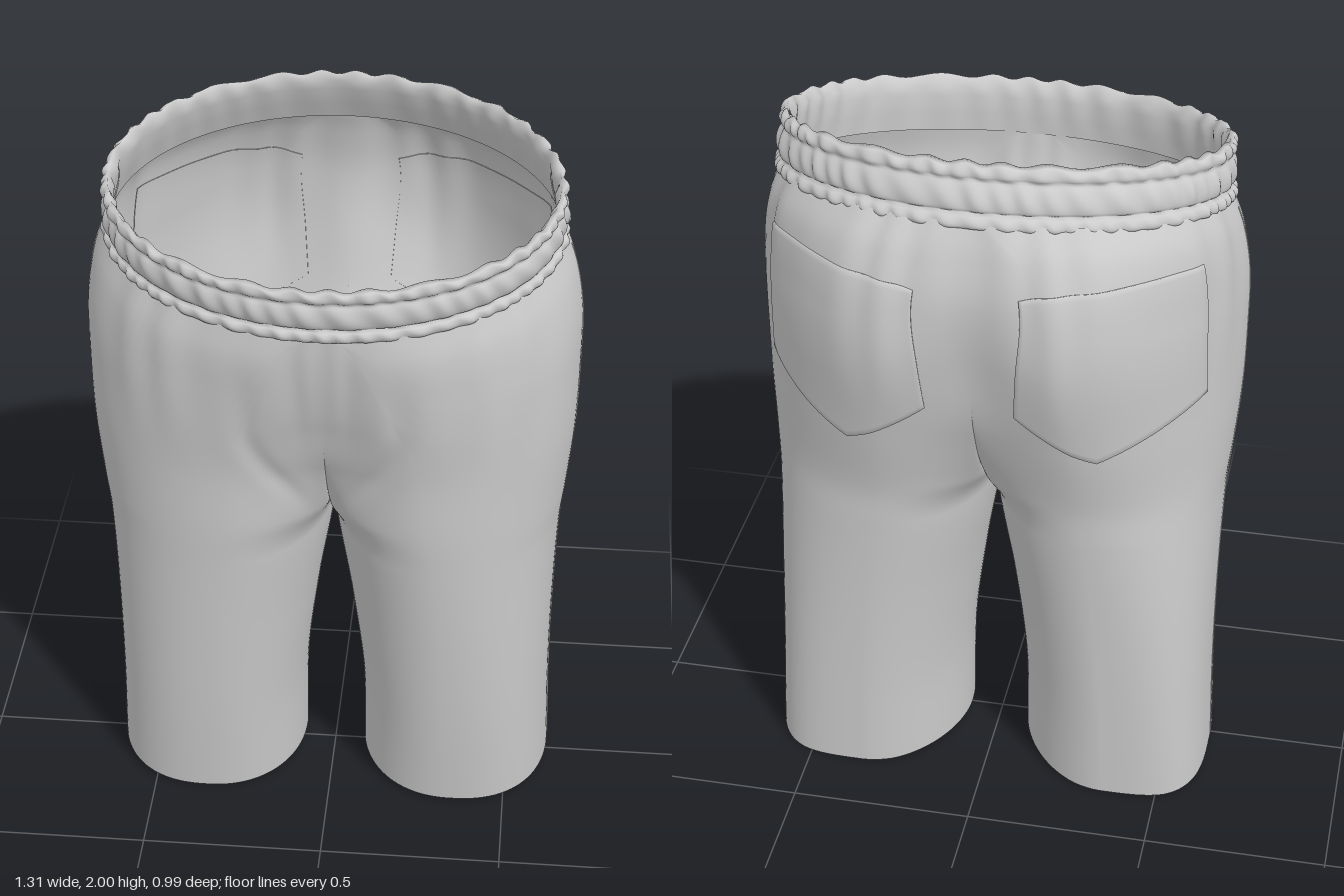
import * as THREE from 'three';
import { mergeVertices } from 'three/addons/utils/BufferGeometryUtils.js';

const CROTCH = 0.88;
const TILT = 0.207; // the waist rises towards the back

// Cross-section levels of the left half:
// height, inner x, outer x, side z, seam front z, front z, front x, seam back z, back z, back x
const LEVELS = [
  [0.00, 0.085, 0.62, -0.04, -0.03, 0.255, 0.35, -0.03, -0.32, 0.35],
  [0.30, 0.08, 0.612, -0.02, -0.03, 0.295, 0.34, -0.03, -0.335, 0.34],
  [0.60, 0.045, 0.612, 0, -0.02, 0.33, 0.32, -0.02, -0.352, 0.32],
  [0.88, 0, 0.62, 0.02, -0.02, 0.36, 0.29, -0.02, -0.372, 0.29],
  [1.00, 0, 0.632, 0.03, 0.19, 0.373, 0.27, -0.23, -0.384, 0.27],
  [1.20, 0, 0.648, 0.04, 0.33, 0.388, 0.25, -0.38, -0.435, 0.25],
  [1.40, 0, 0.65, 0.04, 0.395, 0.418, 0.2, -0.44, -0.485, 0.22],
  [1.55, 0, 0.645, 0.04, 0.43, 0.44, 0.15, -0.46, -0.48, 0.2],
  [1.68, 0, 0.622, 0.035, 0.452, 0.458, 0.1, -0.437, -0.446, 0.13],
  [1.77, 0, 0.59, 0.03, 0.46, 0.462, 0.03, -0.406, -0.408, 0.03],
];
const TOP = 1.77;
const { lerp, smoothstep, clamp } = THREE.MathUtils;

// Smooth interpolation of the level table at height s
function levelAt(s) {
  let i = 0;
  while (i < LEVELS.length - 2 && s > LEVELS[i + 1][0]) i++;
  const a = LEVELS[Math.max(i - 1, 0)], b = LEVELS[i];
  const c = LEVELS[i + 1], d = LEVELS[Math.min(i + 2, LEVELS.length - 1)];
  const h = c[0] - b[0], k = (s - b[0]) / h, k2 = k * k, k3 = k2 * k;
  const v = b.map((_, j) => {
    const m0 = (c[j] - a[j]) / (c[0] - a[0]) * h, m1 = (d[j] - b[j]) / (d[0] - b[0]) * h;
    return (2 * k3 - 3 * k2 + 1) * b[j] + (k3 - 2 * k2 + k) * m0 + (3 * k2 - 2 * k3) * c[j] + (k3 - k2) * m1;
  });
  if (s <= CROTCH) v[4] = v[7] = (v[4] + v[7]) / 2; // closed leg below the crotch
  if (s >= CROTCH) v[1] = 0;
  return v;
}

// Quarter superellipse: n above 2 is squarer, below 2 flatter
function corner(ang, n) {
  return [Math.max(0, Math.cos(ang)) ** (2 / n), Math.max(0, Math.sin(ang)) ** (2 / n)];
}

// Point on the left half: t runs from the inner front, round the outside, to the inner back
function cloth(t, s) {
  const [, xi, xo, zm, sf, zf, xf, sb, zb, xb] = levelAt(s);
  const soft = smoothstep(s, 0.86, 1.35);
  const nFront = 2.4 - 0.4 * smoothstep(s, 0, 1.2);
  const nBack = 3.4 - 1.72 * smoothstep(s, 0, 1.35) + 0.32 * smoothstep(s, 1.5, TOP);
  const low = 1 - smoothstep(s, 0.2, CROTCH);
  const q = clamp(Math.floor(t * 4), 0, 3), a = (t * 4 - q) * Math.PI / 2;
  const inner = (ang, n, xp, zs, zp) => {
    const [c, w] = corner(ang, n), p = 1 - c;
    return [lerp(xi, xp, p), lerp(zs, zp, lerp(w, p * p * (3 - 2 * p), soft))];
  };
  let x, z;
  if (q === 0) [x, z] = inner(a, 2 + 0.2 * low, xf, sf, zf);
  else if (q === 3) [x, z] = inner(Math.PI / 2 - a, 2 - 0.15 * low, xb, sb, zb);
  else if (q === 1) {
    const [c, w] = corner(a, nFront);
    x = xf + (xo - xf) * w;
    z = zm + (zf - zm) * c;
  } else {
    const [c, w] = corner(a, nBack);
    x = xb + (xo - xb) * c;
    z = zm + (zb - zm) * w;
  }
  // gathers below the waist
  const f = Math.atan2(x, z);
  const edge = smoothstep(x, 0, 0.08);
  const gather = 0.005 * Math.sin(f * 19 + 2 * Math.sin(f * 7)) * smoothstep(s, 1.2, 1.7) * edge;
  const r = 1 + gather / Math.max(0.2, Math.hypot(x, z));
  x *= r; z *= r;
  // front fold running from the crotch up beside the fly
  if (z > 0) {
    const fold = 0.2 * smoothstep(s, 0.85, 1.4);
    z -= 0.01 * edge * Math.exp(-(((x - fold) / 0.03) ** 2)) * smoothstep(s, 0.95, 1.2) * (1 - smoothstep(s, 1.45, 1.75));
  }
  const hem = 0.025 * (1 - Math.min(1, (z / 0.3) ** 2)) * (1 - smoothstep(s, 0, 0.5));
  return new THREE.Vector3(x, s + hem - TILT * z * smoothstep(s, 1.05, 1.7), z);
}

function clothNormal(t, s) {
  const e = 0.004;
  const dt = cloth(t + e, s).sub(cloth(t - e, s));
  const ds = cloth(t, s + e).sub(cloth(t, s - e));
  return dt.cross(ds).normalize();
}

// Grid of points at(i, j), with columns i and rows j, welded and smooth
function gridGeometry(cols, rows, at) {
  const pos = [], idx = [];
  for (let j = 0; j <= rows; j++)
    for (let i = 0; i <= cols; i++) pos.push(...at(i, j).toArray());
  for (let j = 0; j < rows; j++)
    for (let i = 0; i < cols; i++) {
      const a = j * (cols + 1) + i, b = a + cols + 1;
      idx.push(a, a + 1, b, a + 1, b + 1, b);
    }
  let g = new THREE.BufferGeometry();
  g.setAttribute('position', new THREE.Float32BufferAttribute(pos, 3));
  g.setIndex(idx);
  g = mergeVertices(g, 1e-5);
  g.computeVertexNormals();
  return g;
}

function legGeometry() {
  const low = 34, high = 56;
  return gridGeometry(128, low + high, (i, j) => {
    const k = (j - low) / high;
    const s = j <= low ? CROTCH * j / low : CROTCH + (TOP - CROTCH) * k ** 1.3;
    return cloth(i / 128, s);
  });
}

// Patch pocket with a pointed lower edge, laid on the seat
function pocketGeometry() {
  const n = 28;
  return gridGeometry(n, n, (i, j) => {
    const u = clamp((i - 1) / (n - 2), 0, 1), v = clamp((j - 1) / (n - 2), 0, 1);
    const bottom = u < 0.5 ? lerp(1.29, 1.18, u / 0.5) : lerp(1.18, 1.29, (u - 0.5) / 0.5);
    const s = lerp(bottom, lerp(1.645, 1.59, u), v);
    const t = lerp(0.59, lerp(0.835, 0.795, v), u);
    const rim = i === 0 || j === 0 || i === n || j === n;
    return cloth(t, s).addScaledVector(clothNormal(t, s), rim ? -0.002 : 0.005);
  });
}

// Fine raised seam down the outside of the leg
function sideSeamGeometry() {
  const pts = [];
  for (let i = 0; i <= 30; i++) pts.push(cloth(0.5, lerp(0.005, 1.73, i / 30)));
  return new THREE.TubeGeometry(new THREE.CatmullRomCurve3(pts), 60, 0.002, 5);
}

// Elastic waistband: narrow, wide and narrow gathered puffs, with a plain lining
function waistbandGeometry() {
  const cols = 360, outer = 28, inner = 6, H = 0.157;
  const edges = [0, 0.25, 0.74, 1];
  return gridGeometry(cols, outer + inner, (i, j) => {
    const f = (i % cols) / cols * Math.PI * 2;
    let k, off;
    if (j <= outer) {
      k = j / outer;
      const p = k < edges[1] ? 0 : k < edges[2] ? 1 : 2;
      const w = Math.sin(Math.PI * (k - edges[p]) / (edges[p + 1] - edges[p]));
      const n = [62, 48, 56][p];
      const wrinkle = Math.sin(n * f + 2 * Math.sin(7 * f + p * 2) + k * 5) + 0.5 * Math.sin(31 * f + p * 4);
      off = 0.002 + Math.sqrt(Math.max(0, w)) * (0.015 + 0.004 * wrinkle);
    } else {
      k = 1 - (j - outer) / inner;
      off = lerp(-0.002, -0.012, Math.min(1, k * 2)) + 0.005 * Math.sin(34 * f + 2 * Math.sin(5 * f)) * k;
    }
    const frill = 0.006 * Math.sin(29 * f + 2 * Math.sin(6 * f)) * smoothstep(k, 0.85, 1);
    const x = (lerp(0.588, 0.575, k) + off) * Math.sin(f);
    const z = lerp(0.026, 0.062, k) + (lerp(0.434, 0.412, k) + off) * Math.cos(f);
    const z0 = 0.026 + 0.434 * Math.cos(f);
    return new THREE.Vector3(x, 1.75 - TILT * z0 + k * H + frill, z);
  });
}

export function createModel() {
  const model = new THREE.Group();
  model.name = 'shorts';
  const fabric = new THREE.MeshStandardMaterial({ color: 0xcccccc, side: THREE.DoubleSide });
  const add = (parent, name, geometry) => {
    const mesh = new THREE.Mesh(geometry, fabric);
    mesh.name = name;
    parent.add(mesh);
  };

  // Mirrored halves meeting at the centre seam
  const parts = { Leg: legGeometry(), BackPocket: pocketGeometry(), SideSeam: sideSeamGeometry() };
  for (const side of [1, -1]) {
    const half = new THREE.Group();
    const label = side > 0 ? 'left' : 'right';
    half.name = label + 'Half';
    half.scale.x = side;
    for (const [name, geometry] of Object.entries(parts)) add(half, label + name, geometry);
    model.add(half);
  }

  add(model, 'waistband', waistbandGeometry());
  return model;
}
